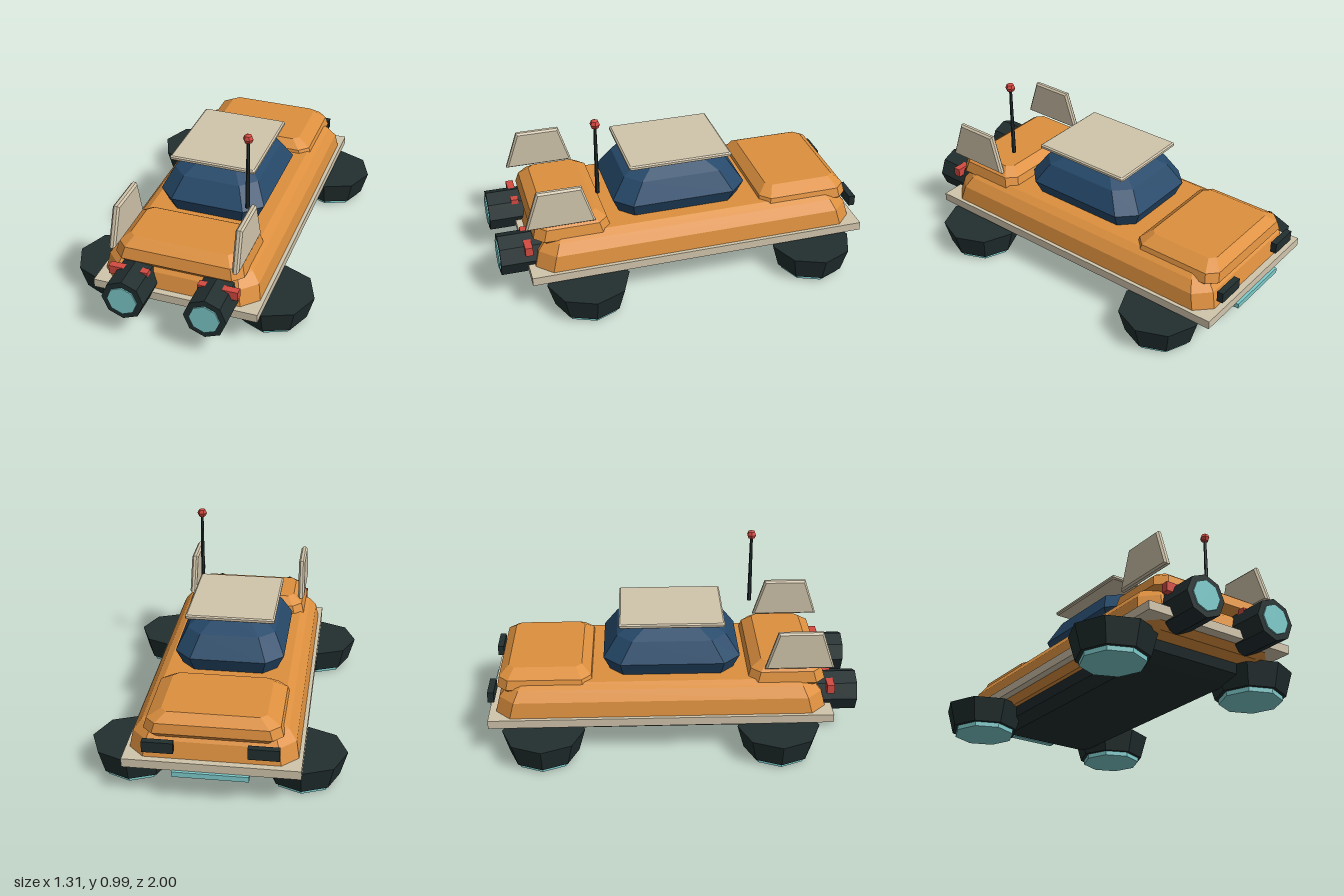
import * as THREE from 'three';

const mat = (name, color) => Object.assign(new THREE.MeshStandardMaterial({ color, flatShading: true }), { name });

// Stacked chamfered rectangles, each level [y, halfX, halfZ, chamfer], with capped ends.
function loft(levels) {
  const rings = levels.map(([y, hx, hz, c]) => [
    [hx, hz - c], [hx - c, hz], [c - hx, hz], [-hx, hz - c],
    [-hx, c - hz], [c - hx, -hz], [hx - c, -hz], [hx, c - hz],
  ].map(([x, z]) => [x, y, z]));
  const pos = [];
  const tri = (...pts) => pts.forEach((p) => pos.push(...p));
  for (let k = 0; k < rings.length - 1; k++) {
    for (let i = 0; i < 8; i++) {
      const j = (i + 1) % 8, a = rings[k][i], b = rings[k][j], c = rings[k + 1][j], d = rings[k + 1][i];
      tri(a, b, c);
      tri(a, c, d);
    }
  }
  const low = rings[0], top = rings[rings.length - 1];
  for (let i = 1; i < 7; i++) {
    tri(low[0], low[i + 1], low[i]);
    tri(top[0], top[i], top[i + 1]);
  }
  // The ring order runs from +z round to -x, so flip every triangle to face outward if needed.
  const g = new THREE.BufferGeometry();
  g.setAttribute('position', new THREE.Float32BufferAttribute(orient(pos), 3));
  g.computeVertexNormals();
  return g;
}

// Makes the triangles of a closed solid face outward, judged by its signed volume.
function orient(pos) {
  const a = new THREE.Vector3(), b = new THREE.Vector3(), c = new THREE.Vector3();
  let volume = 0;
  for (let i = 0; i < pos.length; i += 9) {
    a.fromArray(pos, i); b.fromArray(pos, i + 3); c.fromArray(pos, i + 6);
    volume += a.dot(b.cross(c));
  }
  if (volume > 0) return pos;
  const out = [];
  for (let i = 0; i < pos.length; i += 9) {
    out.push(...pos.slice(i, i + 3), ...pos.slice(i + 6, i + 9), ...pos.slice(i + 3, i + 6));
  }
  return out;
}

export function createModel() {
  const orange = mat('orange paint', 0xdd903f);
  const blue = mat('blue glass', 0x26496a);
  const dark = mat('dark metal', 0x222e2f);
  const cream = mat('cream trim', 0xd0c4ab);
  const teal = mat('teal glow', 0x7ecbcb);
  const red = mat('red light', 0xd24a41);

  const car = new THREE.Group();
  car.name = 'hoverCar';
  const add = (name, geometry, material, x = 0, y = 0, z = 0) => {
    const mesh = new THREE.Mesh(geometry, material);
    mesh.name = name;
    mesh.position.set(x, y, z);
    car.add(mesh);
    return mesh;
  };
  const box = (name, material, w, h, d, x, y, z) =>
    add(name, new THREE.BoxGeometry(w, h, d), material, x, y, z);

  // Hull, underside and the trim band round it
  add('body', loft([
    [0.14, 0.36, 0.82, 0.06], [0.175, 0.405, 0.865, 0.07], [0.215, 0.42, 0.882, 0.08],
    [0.3, 0.405, 0.86, 0.08], [0.352, 0.365, 0.815, 0.06], [0.377, 0.325, 0.78, 0.05],
  ]), orange, 0, 0, -0.067);
  add('undertray', loft([
    [0.05, 0.26, 0.65, 0.04], [0.09, 0.32, 0.71, 0.05], [0.16, 0.34, 0.73, 0.05],
  ]), dark, 0, 0, -0.067);
  box('trimBand', cream, 0.88, 0.046, 1.834, 0, 0.193, -0.067);

  // Raised decks at both ends
  add('longDeck', loft([
    [0.3, 0.3, 0.215, 0.04], [0.345, 0.345, 0.255, 0.05],
    [0.395, 0.33, 0.245, 0.05], [0.437, 0.26, 0.195, 0.03],
  ]), orange, 0, 0, -0.683);
  add('shortDeck', loft([
    [0.315, 0.3, 0.165, 0.04], [0.36, 0.345, 0.207, 0.05],
    [0.42, 0.33, 0.19, 0.05], [0.46, 0.28, 0.135, 0.03],
  ]), orange, 0, 0, 0.605);

  // Cabin and roof
  add('cabin', loft([
    [0.37, 0.25, 0.33, 0.07], [0.455, 0.29, 0.367, 0.09],
    [0.565, 0.235, 0.292, 0.08], [0.64, 0.125, 0.155, 0.05],
  ]), blue, 0, 0, -0.005);
  add('roofPanel', loft([
    [0.641, 0.228, 0.273, 0.005], [0.647, 0.236, 0.281, 0.006],
    [0.659, 0.236, 0.281, 0.006], [0.665, 0.228, 0.273, 0.005],
  ]), cream, 0, 0, -0.005);

  // Fin outline in the z-y plane, bevelled on both faces
  const finShape = new THREE.Shape([[-0.842, 0.45], [-0.496, 0.45], [-0.557, 0.642], [-0.777, 0.642]]
    .map(([x, y]) => new THREE.Vector2(x, y)));
  const fin = new THREE.ExtrudeGeometry(finShape, {
    depth: 0.016, bevelThickness: 0.01, bevelSize: 0.01, bevelSegments: 1,
  });
  fin.translate(0, 0, -0.008).rotateY(Math.PI / 2);

  // Vertices of the octagons point along the axes
  const octagon = (top, bottom, h) => new THREE.CylinderGeometry(top, bottom, h, 8);

  for (const [side, s] of [['left', 1], ['right', -1]]) {
    add(side + 'Fin', fin, cream, s * 0.325).rotation.z = s * 0.02;
    car.children[car.children.length - 1].position.x += s * 0.008;

    // Hover pads
    for (const z of [0.557, -0.693]) {
      add(side + 'HoverPad', octagon(0.22, 0.184, 0.128), dark, s * 0.435, 0.088, z);
      add(side + 'HoverGlow', octagon(0.165, 0.165, 0.03), teal, s * 0.435, 0.015, z);
    }

    // Thrusters with glowing nozzles
    add(side + 'Thruster', octagon(0.112, 0.112, 0.23), dark, s * 0.217, 0.244, 0.876).rotation.x = Math.PI / 2;
    add(side + 'ThrusterGlow', octagon(0.08, 0.08, 0.03), teal, s * 0.217, 0.244, 0.983).rotation.x = Math.PI / 2;

    // Lamps at both ends
    box(side + 'RedLamp', red, 0.21, 0.048, 0.04, s * 0.238, 0.314, 0.843);
    box(side + 'DarkLamp', dark, 0.155, 0.058, 0.034, s * 0.258, 0.297, -0.973);
  }
  box('glowBar', teal, 0.38, 0.028, 0.04, 0, 0.158, -0.98);

  // Antenna
  add('antennaMast', new THREE.CylinderGeometry(0.008, 0.012, 0.39, 6), dark, 0.257, 0.755, 0.455);
  add('antennaTip', new THREE.SphereGeometry(0.027, 6, 4), red, 0.257, 0.964, 0.455);

  return car;
}
